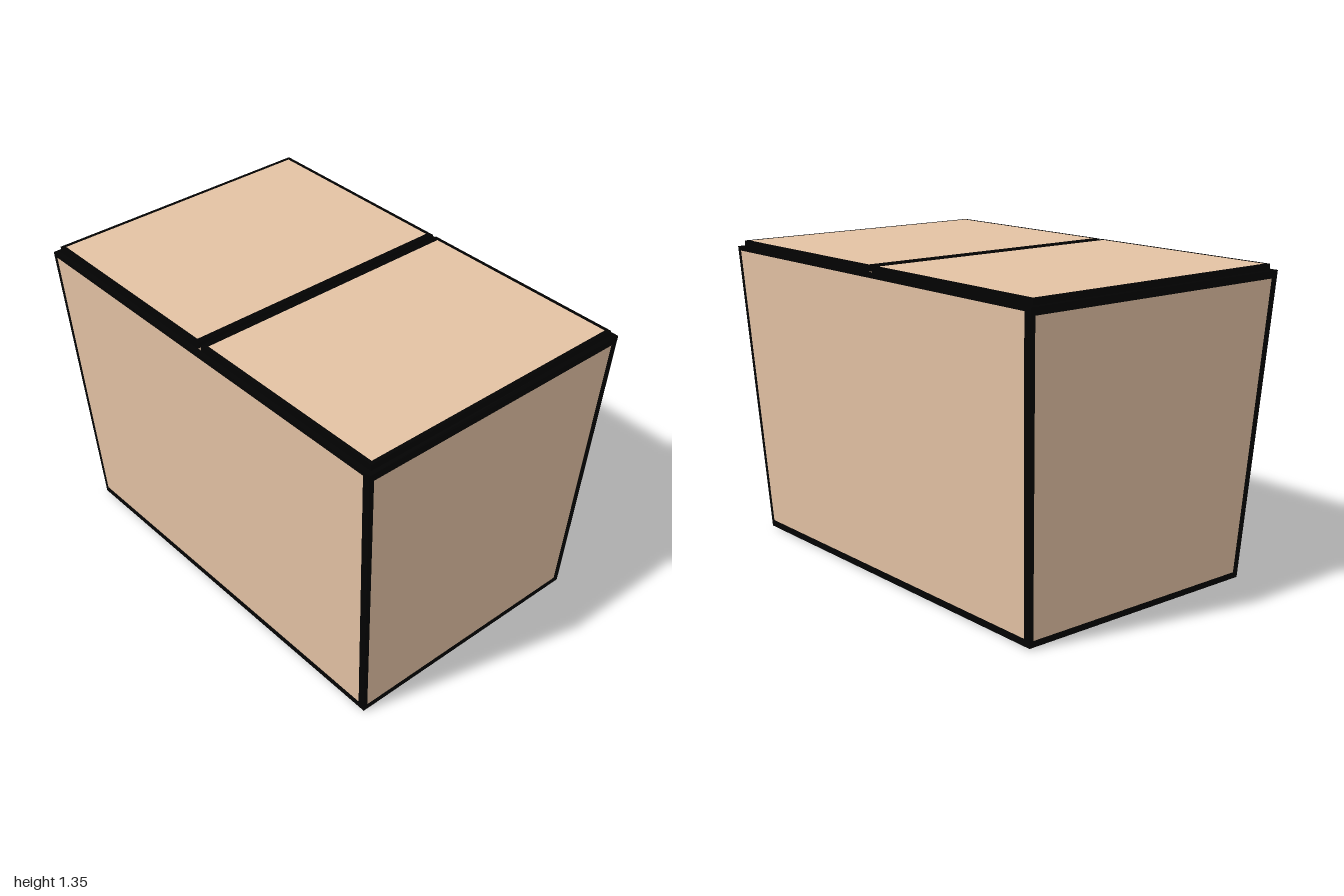
import * as THREE from 'three';

function flat(name, color) {
  const m = new THREE.MeshStandardMaterial({ color });
  m.name = name;
  return m;
}
const card = flat('cardboard tan', 0xe4c2a4);
const ink = flat('edge black', 0x020202);
const blue = flat('paint blue', 0xa2d2e8);
const pale = flat('paint pale grey', 0xe4ebeb);

// Flat quad (corners counter-clockwise: bottom left, bottom right, top right, top left)
// with a black border of the given widths around a tan centre.
function panel(name, corners, { left, right, bottom, top }) {
  const [a, b, c, d] = corners.map((p) => new THREE.Vector3(...p));
  const w = (a.distanceTo(b) + c.distanceTo(d)) / 2;
  const h = (a.distanceTo(d) + b.distanceTo(c)) / 2;
  const at = (u, v) => a.clone().lerp(b, u).lerp(d.clone().lerp(c, u), v);
  const [u0, u1, v0, v1] = [left / w, 1 - right / w, bottom / h, 1 - top / h];
  const points = [a, b, c, d, at(u0, v0), at(u1, v0), at(u1, v1), at(u0, v1)];
  const index = [4, 5, 6, 4, 6, 7];
  for (let i = 0; i < 4; i++) {
    const j = (i + 1) % 4;
    index.push(i, j, j + 4, i, j + 4, i + 4);
  }
  const g = new THREE.BufferGeometry().setFromPoints(points);
  g.setIndex(index);
  g.addGroup(0, 6, 0);
  g.addGroup(6, 24, 1);
  g.computeVertexNormals();
  const mesh = new THREE.Mesh(g, [card, ink]);
  mesh.name = name;
  return mesh;
}

// Plain one-colour quad
function strip(name, corners, material) {
  const g = new THREE.BufferGeometry().setFromPoints(corners.map((p) => new THREE.Vector3(...p)));
  g.setIndex([0, 1, 2, 0, 2, 3]);
  g.computeVertexNormals();
  const mesh = new THREE.Mesh(g, material);
  mesh.name = name;
  return mesh;
}

// Painted patch on the underside, outlined by [x, z] points and facing down
function patch(name, outline, material, y) {
  const shape = new THREE.Shape(outline.map(([x, z]) => new THREE.Vector2(x, z)));
  const mesh = new THREE.Mesh(new THREE.ShapeGeometry(shape).rotateX(Math.PI / 2), material);
  mesh.name = name;
  mesh.position.y = y;
  return mesh;
}

const even = (w) => ({ left: w, right: w, bottom: w, top: w });

// Corners of a level rectangle: front right, front left, back left, back right
const level = (x, y, z) => [[-x, y, z], [x, y, z], [x, y, -z], [-x, y, -z]];

function createFlap(name, x0, x1) {
  const flap = new THREE.Group();
  flap.name = name;
  const y0 = 1.32, y1 = 1.345, z = 0.635;
  const ring = (y) => [[x0, y, z], [x1, y, z], [x1, y, -z], [x0, y, -z]];
  const lo = ring(y0), hi = ring(y1);
  const inner = x0 > 0 ? 'left' : 'right';
  flap.add(panel('flapTop', hi, { ...even(0.017), [inner]: 0.025 }));
  flap.add(strip('flapUnderside', [...lo].reverse(), card));
  for (let i = 0; i < 4; i++) {
    const j = (i + 1) % 4;
    flap.add(strip('flapEdge', [lo[i], lo[j], hi[j], hi[i]], ink));
  }
  return flap;
}

// Bird painted on the underside
function createPaintedBird() {
  const bird = new THREE.Group();
  bird.name = 'paintedBird';
  const y = -0.002, over = -0.004;
  bird.add(patch('birdBack', [[0.54, -0.28], [0.32, -0.34], [0.09, -0.4], [0.055, -0.276],
    [0.17, -0.145], [0.088, 0.074], [-0.053, 0.193], [0.03, 0.126], [0.244, -0.033]], blue, y));
  bird.add(patch('birdBelly', [[0.17, -0.145], [0.055, -0.276], [-0.1, -0.24], [-0.229, -0.125],
    [-0.308, 0.03], [-0.229, 0.164], [-0.053, 0.193], [0.088, 0.074]], pale, y));
  bird.add(patch('birdTail', [[0.34, -0.088], [0.244, -0.033], [-0.053, 0.193], [-0.058, 0.29],
    [0.068, 0.328], [0.161, 0.457], [0.186, 0.257], [0.283, 0.271], [0.267, 0.139],
    [0.346, 0.155], [0.398, 0.063]], ink, over));
  bird.add(patch('birdFeet', [[-0.053, 0.193], [-0.229, 0.164], [-0.308, 0.03], [-0.373, 0.128],
    [-0.328, 0.233], [-0.312, 0.365], [-0.233, 0.279], [-0.197, 0.377], [-0.19, 0.518],
    [-0.109, 0.501], [-0.098, 0.358]], ink, over));
  bird.add(patch('birdHead', [[0.082, -0.338], [-0.026, -0.429], [-0.232, -0.432],
    [-0.077, -0.268], [-0.2, -0.1], [-0.1, -0.068], [-0.013, -0.214]], ink, over));
  bird.add(patch('upperBeak', [[-0.077, -0.268], [-0.232, -0.432], [-0.568, -0.358],
    [-0.365, -0.222], [-0.186, -0.156]], blue, y));
  bird.add(patch('lowerBeak', [[-0.186, -0.156], [-0.365, -0.222], [-0.568, -0.358],
    [-0.489, -0.224], [-0.263, -0.085]], pale, y));
  return bird;
}

export function createModel() {
  const box = new THREE.Group();
  box.name = 'cardboardBox';

  // Tapered shell: outer and inner outlines at the floor and the rim
  const outLo = level(0.92, 0, 0.585), outHi = level(1, 1.32, 0.66);
  const inLo = level(0.89, 0.03, 0.555), inHi = level(0.975, 1.32, 0.635);
  const wide = { left: 0.021, right: 0.033, bottom: 0.032, top: 0.018 };
  const narrow = { left: 0.02, right: 0.03, bottom: 0.028, top: 0.032 };
  ['front', 'left', 'back', 'right'].forEach((side, i) => {
    const j = (i + 1) % 4;
    box.add(panel(side + 'Wall', [outLo[i], outLo[j], outHi[j], outHi[i]], i % 2 ? narrow : wide));
    box.add(panel(side + 'InnerWall', [inLo[j], inLo[i], inHi[i], inHi[j]], even(0.015)));
    box.add(strip(side + 'Rim', [outHi[i], outHi[j], inHi[j], inHi[i]], ink));
  });

  // Floor inside and underside
  box.add(panel('innerFloor', inLo, even(0.015)));
  box.add(panel('underside', [...outLo].reverse(), even(0.01)));
  box.add(createPaintedBird());

  // Two closed flaps with a narrow gap between them
  box.add(createFlap('leftFlap', 0.01, 0.98));
  box.add(createFlap('rightFlap', -0.98, -0.01));
  return box;
}
